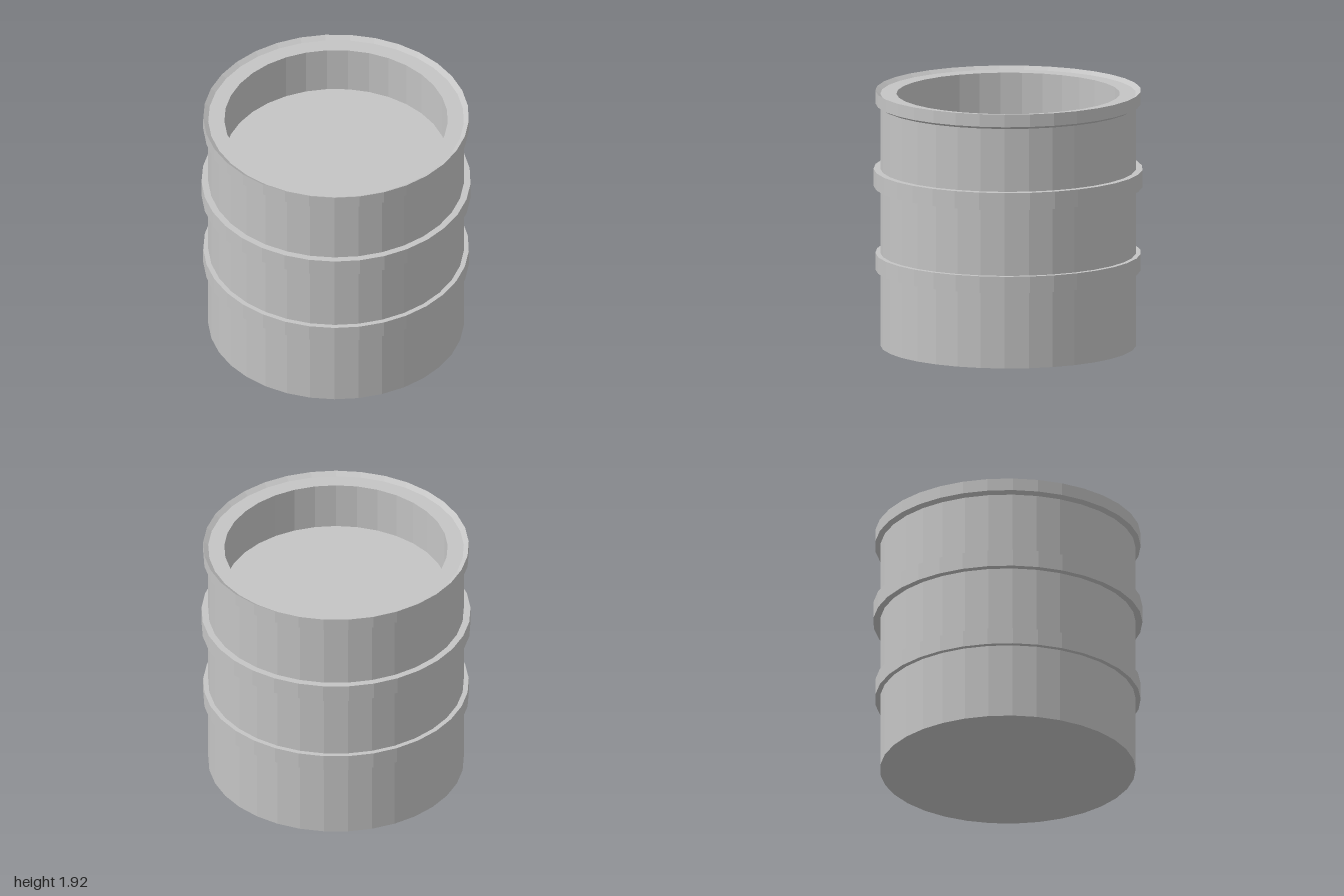
import * as THREE from 'three';

const SIDES = 33;

// Faceted solid of revolution; the profile runs [radius, height] with the outside on its right
function turned(name, profile, material) {
  const points = profile.map(([r, y]) => new THREE.Vector2(r, y));
  const geometry = new THREE.LatheGeometry(points, SIDES).toNonIndexed();
  geometry.rotateY(Math.PI); // a corner at the back, a flat facet at the front
  geometry.computeVertexNormals();
  const mesh = new THREE.Mesh(geometry, material);
  mesh.name = name;
  return mesh;
}

export function createModel() {
  const grey = new THREE.MeshStandardMaterial({ color: 0xc4c4c4 });
  grey.name = 'plain grey';

  const model = new THREE.Group();
  model.name = 'barrel';
  const bodyR = 0.95, wellR = 0.83, rimR = 0.987;

  // Closed base and straight wall
  model.add(turned('body', [[0, 0], [bodyR, 0], [bodyR, 1.81]], grey));

  // Flared rim, bevelled below and inside, with a flat ledge
  model.add(turned('rim', [
    [bodyR, 1.81], [rimR, 1.83], [rimR, 1.925], [bodyR, 1.9], [wellR, 1.9],
  ], grey));

  // Recessed well and its floor
  model.add(turned('well', [[wellR, 1.9], [wellR, 1.535], [0, 1.535]], grey));

  // Raised hoops around the wall
  for (const [name, r, low, high] of [
    ['lowerHoop', rimR, 0.575, 0.7],
    ['upperHoop', 1, 1.205, 1.335],
  ]) {
    model.add(turned(name, [[bodyR - 0.01, low], [r, low], [r, high], [bodyR - 0.01, high]], grey));
  }

  model.position.z = 0.002;
  return model;
}
